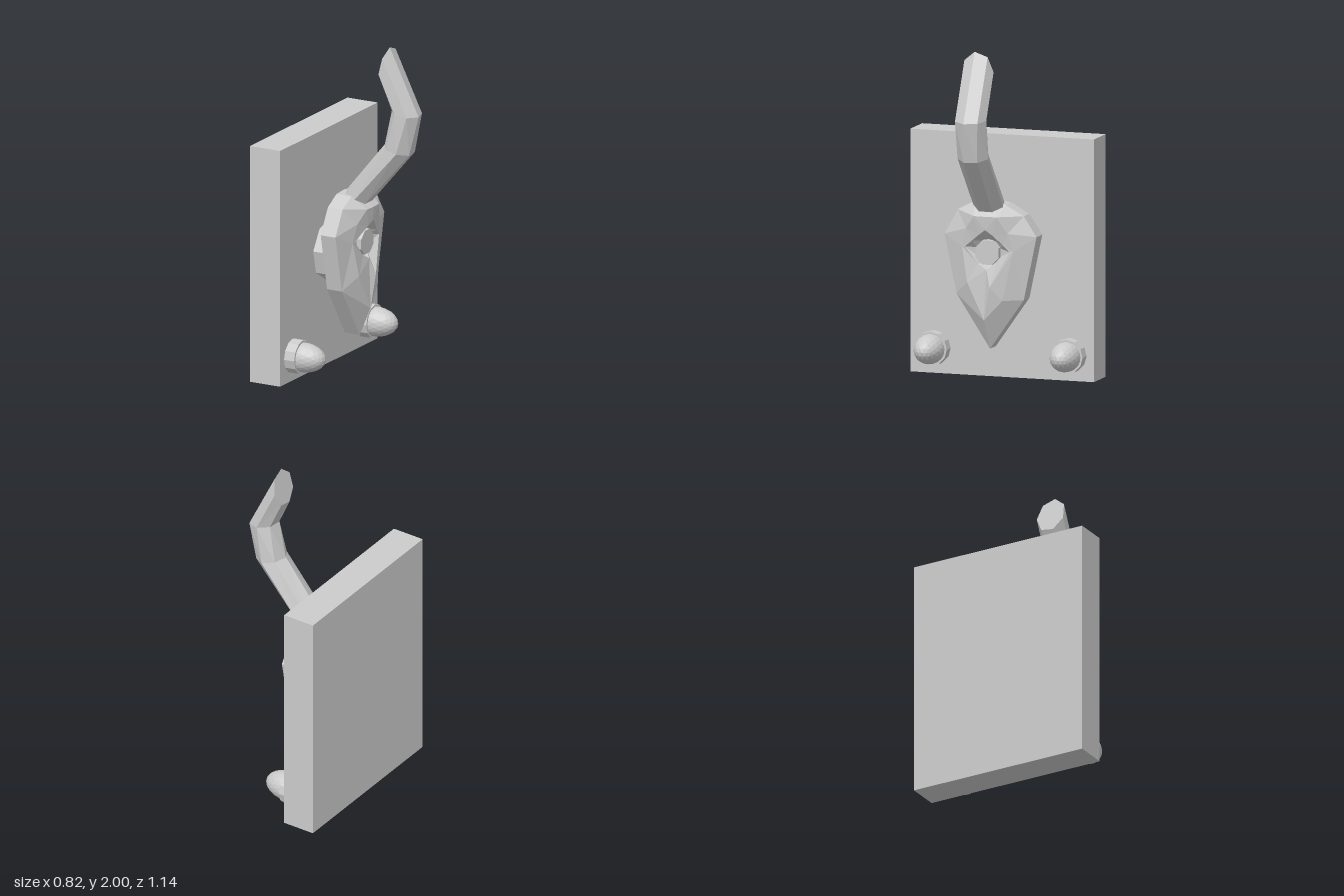
import * as THREE from 'three';

const material = new THREE.MeshStandardMaterial({ color: 0xcccccc, flatShading: true });

function part(name, geometry, x = 0, y = 0, z = 0) {
  const mesh = new THREE.Mesh(geometry, material);
  mesh.name = name;
  mesh.position.set(x, y, z);
  return mesh;
}

// Skin a list of equal-length rings (counterclockwise seen from the last one), capped at both ends.
// Each quad is split along its shorter diagonal.
function loft(rings) {
  const n = rings[0].length;
  const out = [];
  const tri = (...points) => points.forEach((p) => out.push(...p));
  const centre = (ring) => [0, 1, 2].map((k) => ring.reduce((s, p) => s + p[k], 0) / n);
  const dist = (p, q) => Math.hypot(p[0] - q[0], p[1] - q[1], p[2] - q[2]);
  const first = rings[0], last = rings[rings.length - 1];
  const c0 = centre(first), c1 = centre(last);
  for (let i = 0; i < n; i++) {
    const j = (i + 1) % n;
    for (let r = 0; r < rings.length - 1; r++) {
      const a = rings[r], b = rings[r + 1];
      if (dist(a[i], b[j]) < dist(a[j], b[i])) {
        tri(a[i], a[j], b[j]);
        tri(a[i], b[j], b[i]);
      } else {
        tri(a[i], a[j], b[i]);
        tri(a[j], b[j], b[i]);
      }
    }
    tri(c0, first[j], first[i]);
    tri(c1, last[i], last[j]);
  }
  const geometry = new THREE.BufferGeometry();
  geometry.setAttribute('position', new THREE.Float32BufferAttribute(out, 3));
  geometry.computeVertexNormals();
  return geometry;
}

// Faceted drop-shaped shield with a recess round the central button
function shieldGeometry() {
  // rim as [z, y]; the inner rings as [z, y, x]
  const rim = [[0.1, 1.075], [0.2, 1.02], [0.285, 0.87], [0.21, 0.52], [0, 0.2],
    [-0.21, 0.5], [-0.29, 0.88], [-0.21, 1.0], [-0.1, 1.06], [0, 1.08]];
  const ridge = [[0.07, 1.0, 0.09], [0.13, 0.92, 0.06], [0.16, 0.81, 0.045], [0.12, 0.6, 0.065], [0.01, 0.38, 0.08],
    [-0.1, 0.5, 0.065], [-0.16, 0.79, 0.045], [-0.13, 0.9, 0.06], [-0.07, 1.0, 0.09], [0, 1.0, 0.095]];
  const lip = [[0.04, 0.89, 0.08], [0.09, 0.85, 0.062], [0.14, 0.81, 0.05], [0.055, 0.71, 0.055], [0, 0.68, 0.065],
    [-0.03, 0.58, 0.093], [-0.14, 0.79, 0.05], [-0.1, 0.83, 0.058], [-0.04, 0.89, 0.08], [0, 0.92, 0.09]];
  const at = (ring, x) => ring.map(([z, y, px]) => [px ?? x, y, z]);
  const floor = rim.map((_, i) => {
    const a = (i + 1) * Math.PI / 5;
    return [0.02, 0.78 + 0.078 * Math.cos(a), 0.078 * Math.sin(a)];
  });
  return loft([at(rim, -0.1), at(rim, 0), at(ridge), at(lip), floor]);
}

// Bent seven-sided horn, each section given by its left and right edge in x and y and a twist
function hornGeometry() {
  const sections = [
    [-0.08, 1.085, 0.06, 1.01, 0], [0.18, 1.4, 0.36, 1.36, 0.1],
    [0.235, 1.62, 0.41, 1.6, 0.3], [0.165, 1.78, 0.215, 2.0, 0.3]];
  const sides = 7;
  return loft(sections.map(([lx, ly, rx, ry, twist]) => Array.from({ length: sides }, (_, i) => {
    const a = Math.PI - twist - i * Math.PI * 2 / sides;
    const u = 0.5 + 0.51 * Math.cos(a);
    return [lx + (rx - lx) * u, ly + (ry - ly) * u, 0.095 * Math.sin(a) + 0.005];
  })));
}

export function createModel() {
  const group = new THREE.Group();
  group.name = 'wallHook';

  group.add(part('backPlate', new THREE.BoxGeometry(0.204, 1.445, 1.145), -0.311, 0.7225, 0));

  // Block joining the shield to the plate
  const spacer = new THREE.CylinderGeometry(0.186, 0.186, 0.11, 8);
  spacer.rotateY(-0.16).rotateZ(-Math.PI / 2);
  group.add(part('spacer', spacer, -0.156, 0.698, 0));

  group.add(part('shield', shieldGeometry()));

  const button = new THREE.CylinderGeometry(0.078, 0.078, 0.06, 8);
  button.rotateY(Math.PI / 8).rotateZ(-Math.PI / 2);
  group.add(part('button', button, 0.022, 0.78, 0));

  group.add(part('horn', hornGeometry()));

  // Two domed bumpers on collars
  for (const side of [1, -1]) {
    const bumper = new THREE.Group();
    bumper.name = side > 0 ? 'leftBumper' : 'rightBumper';
    bumper.position.set(-0.14, 0.153, side * 0.424);
    const collar = new THREE.CylinderGeometry(0.103, 0.103, 0.07, 12);
    collar.rotateZ(-Math.PI / 2);
    const dome = new THREE.IcosahedronGeometry(0.089, 3);
    dome.scale(0.149 / 0.089, 1, 1);
    bumper.add(part('collar', collar, -0.035, 0, 0), part('dome', dome));
    group.add(bumper);
  }
  return group;
}
